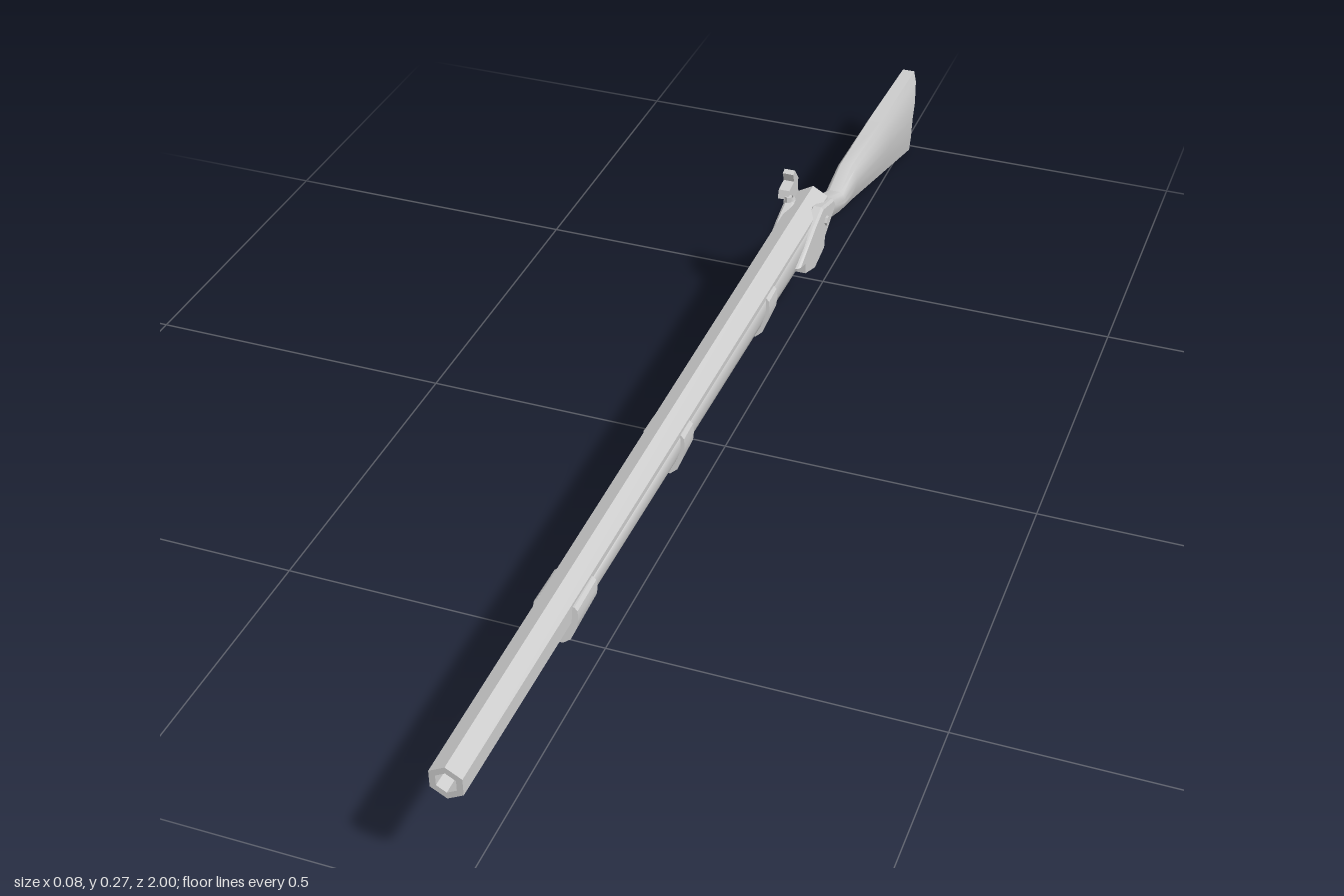
import * as THREE from 'three';
import { toCreasedNormals } from 'three/addons/utils/BufferGeometryUtils.js';

const CX = 0.003; // centre plane of the barrel and stock

// Right half of a stock section, bottom to top: [share of half width, share of height]
const FORE = [[0.4, 0], [0.72, 0.14], [0.95, 0.45], [1, 0.7], [0.95, 0.92], [0.8, 1]];
const BUTT = [[0.52, 0], [0.75, 0.2], [1, 0.5], [0.98, 0.68], [0.78, 0.9], [0.5, 1]];

// Closed symmetric ring; z may be a number or a function of the height share
function ring(profile, z, bottom, top, halfWidth) {
  const at = ([w, t], side) => [CX + side * w * halfWidth, bottom + t * (top - bottom), typeof z === 'function' ? z(t) : z];
  return [...profile.map(p => at(p, 1)), ...profile.slice().reverse().map(p => at(p, -1))];
}

// Skin over rings ordered from front to back, closed at both ends
function loft(rings, crease) {
  const n = rings[0].length, index = [];
  const last = (rings.length - 1) * n;
  for (let i = 0; i < rings.length - 1; i++) {
    for (let j = 0; j < n; j++) {
      const a = i * n + j, b = i * n + (j + 1) % n;
      index.push(a, a + n, b, b, a + n, b + n);
    }
  }
  for (let j = 0; j < n / 2 - 1; j++) {
    const a = j, b = j + 1, c = n - 2 - j, d = n - 1 - j;
    index.push(a, b, c, a, c, d);
    index.push(last + a, last + c, last + b, last + a, last + d, last + c);
  }
  const g = new THREE.BufferGeometry();
  g.setAttribute('position', new THREE.Float32BufferAttribute(rings.flat(2), 3));
  g.setIndex(index);
  return toCreasedNormals(g, crease);
}

// Side outline of [z, y] points, given thickness from x0 to x1
function sidePlate(points, x0, x1, bevel = 0) {
  const shape = new THREE.Shape(points.map(([z, y]) => new THREE.Vector2(-z, y)));
  const g = new THREE.ExtrudeGeometry(shape, {
    depth: x1 - x0 - 2 * bevel, bevelEnabled: bevel > 0, bevelSize: bevel,
    bevelThickness: bevel, bevelOffset: -bevel, bevelSegments: 1,
  });
  g.rotateY(Math.PI / 2);
  g.translate(x0 + bevel, 0, 0);
  return g;
}

export function createModel() {
  const model = new THREE.Group();
  model.name = 'musket';
  const material = new THREE.MeshStandardMaterial({ color: 0xcccccc });
  const add = (name, geometry) => {
    const mesh = new THREE.Mesh(geometry, material);
    mesh.name = name;
    model.add(mesh);
    return mesh;
  };

  // Six-sided barrel, with an open bore at the muzzle
  const barrelProfile = [[0, -0.42], [0.029, -0.42], [0.03, -0.3], [0.026, 1], [0.016, 1], [0.014, 0.9], [0, 0.9]];
  const barrel = new THREE.LatheGeometry(barrelProfile.map(p => new THREE.Vector2(...p)), 6);
  barrel.rotateX(Math.PI / 2);
  barrel.translate(CX, 0.212, 0);
  add('barrel', toCreasedNormals(barrel, 0.5));

  // Ramrod under the barrel
  const rod = new THREE.CylinderGeometry(0.007, 0.007, 0.3, 6);
  rod.rotateX(Math.PI / 2);
  rod.translate(CX, 0.179, 0.7);
  add('ramrod', toCreasedNormals(rod, 0.5));

  // Fore-end, wrist and butt in one skin
  const buttEnd = t => t < 0.5 ? -0.985 + 0.05 * t : -0.96 - 0.07 * (t - 0.5);
  add('stock', loft([
    ring(FORE, 0.66, 0.18, 0.214, 0.023),
    ring(FORE, 0.6, 0.175, 0.219, 0.026),
    ring(FORE, -0.12, 0.163, 0.222, 0.027),
    ring(FORE, -0.33, 0.158, 0.226, 0.028),
    ring(FORE, -0.43, 0.157, 0.212, 0.025),
    ring(BUTT, -0.48, 0.145, 0.187, 0.02),
    ring(BUTT, -0.545, 0.122, 0.16, 0.019),
    ring(BUTT, -0.61, 0.107, 0.177, 0.02),
    ring(BUTT, -0.8, 0.056, 0.171, 0.0235),
    ring(BUTT, buttEnd, 0.003, 0.164, 0.0215),
  ], 0.75));

  // Three barrel bands: front z, back z, bottom y
  const bands = [[0.675, 0.597, 0.166], [0.28, 0.23, 0.158], [-0.095, -0.145, 0.154]];
  bands.forEach(([front, back, bottom], i) => {
    const slant = t => front - 0.012 * t;
    add('barrelBand' + (i + 1), loft([
      ring(FORE, slant, bottom, 0.221, 0.0325),
      ring(FORE, back, bottom + 0.004, 0.221, 0.0315),
    ], 0.6));
  });

  // Lock plates on both flanks
  const plate = [[-0.25, 0.188], [-0.33, 0.223], [-0.37, 0.235], [-0.43, 0.218], [-0.442, 0.2], [-0.37, 0.161], [-0.315, 0.166]];
  add('lockPlateRight', sidePlate(plate, -0.031, -0.012, 0.004));
  add('lockPlateLeft', sidePlate(plate, 0.016, 0.037, 0.004));

  // Curved hammer with its spur, and the nipple it strikes
  const hammer = [[-0.395, 0.192], [-0.425, 0.192], [-0.435, 0.208], [-0.418, 0.232], [-0.42, 0.252],
    [-0.402, 0.275], [-0.392, 0.272], [-0.398, 0.256], [-0.373, 0.252], [-0.368, 0.238], [-0.39, 0.236], [-0.4, 0.218]];
  add('hammer', sidePlate(hammer, -0.041, -0.023));
  const nipple = new THREE.CylinderGeometry(0.006, 0.009, 0.03, 6);
  nipple.translate(-0.024, 0.228, -0.372);
  add('nipple', toCreasedNormals(nipple, 0.5));

  // Small screw head on the left plate
  const screw = new THREE.CylinderGeometry(0.008, 0.008, 0.006, 6);
  screw.rotateZ(Math.PI / 2);
  screw.translate(0.038, 0.202, -0.385);
  add('lockScrew', toCreasedNormals(screw, 0.5));

  // Trigger guard
  const guard = [[-0.35, 0.165], [-0.35, 0.115], [-0.402, 0.095], [-0.452, 0.105], [-0.46, 0.155]];
  add('triggerGuard', sidePlate(guard, CX - 0.012, CX + 0.012));

  return model;
}
